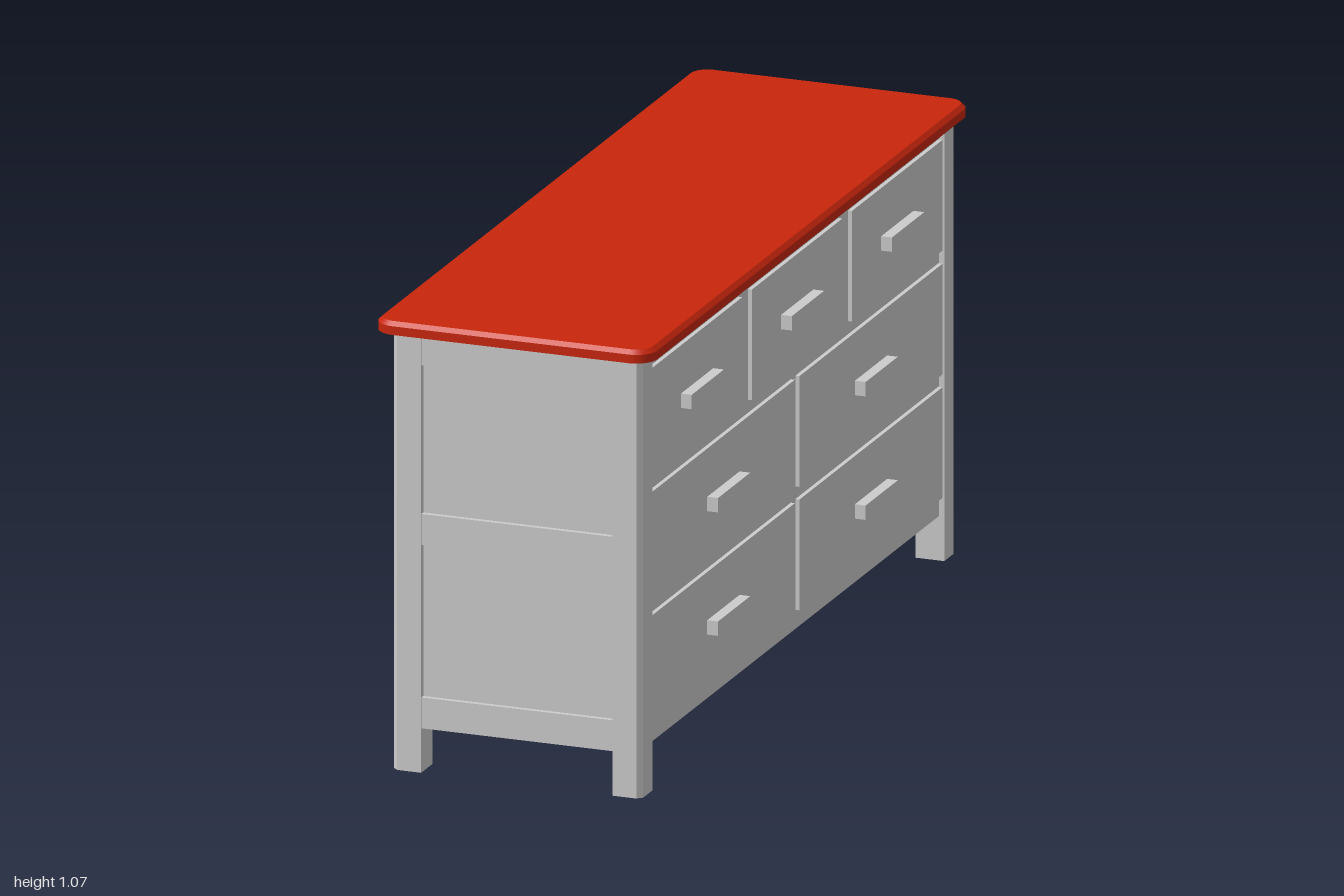
import * as THREE from 'three';

const grey = new THREE.MeshStandardMaterial({ color: 0xcccccc, flatShading: true });
const greyOpen = new THREE.MeshStandardMaterial({ color: 0xcccccc, flatShading: true, side: THREE.DoubleSide });
const red = new THREE.MeshStandardMaterial({ color: 0xc8260c });

const HX = 0.301, HZ = 0.973;      // carcass half sizes, outside the legs
const LEG = 0.07, CHAMFER = 0.012;
const BOTTOM = 0.105, TOP = 1.035;

// Box given by its min and max on each axis
function box(name, [x0, x1], [y0, y1], [z0, z1]) {
  const mesh = new THREE.Mesh(new THREE.BoxGeometry(x1 - x0, y1 - y0, z1 - z0), grey);
  mesh.position.set((x0 + x1) / 2, (y0 + y1) / 2, (z0 + z1) / 2);
  mesh.name = name;
  return mesh;
}

// Hollow post, open at the foot, with its outer corner chamfered
function leg(sx, sz) {
  const loop = [
    [HX - LEG, HZ - LEG], [HX - LEG, HZ], [HX - CHAMFER, HZ],
    [HX, HZ - CHAMFER], [HX, HZ - LEG],
  ].map(([x, z]) => [x * sx, z * sz]);
  if (sx * sz < 0) loop.reverse();
  const p = [];
  loop.forEach(([ax, az], i) => {
    const [bx, bz] = loop[(i + 1) % loop.length];
    p.push(ax, 0, az, bx, 0, bz, bx, TOP, bz, ax, 0, az, bx, TOP, bz, ax, TOP, az);
  });
  const g = new THREE.BufferGeometry();
  g.setAttribute('position', new THREE.Float32BufferAttribute(p, 3));
  g.computeVertexNormals();
  const mesh = new THREE.Mesh(g, greyOpen);
  mesh.name = 'leg';
  return mesh;
}

// Rounded rectangle outline of the worktop
function topOutline(hx, hz, r) {
  const s = new THREE.Shape();
  s.absarc(hx - r, hz - r, r, 0, Math.PI / 2);
  s.absarc(-hx + r, hz - r, r, Math.PI / 2, Math.PI);
  s.absarc(-hx + r, -hz + r, r, Math.PI, Math.PI * 1.5);
  s.absarc(hx - r, -hz + r, r, Math.PI * 1.5, Math.PI * 2);
  s.closePath();
  return s;
}

function topLayer(name, y, options) {
  const g = new THREE.ExtrudeGeometry(topOutline(0.335, 1, 0.05), { curveSegments: 6, ...options });
  g.rotateX(-Math.PI / 2);
  const mesh = new THREE.Mesh(g, red);
  mesh.position.y = y;
  mesh.name = name;
  return mesh;
}

export function createModel() {
  const model = new THREE.Group();
  model.name = 'chestOfDrawers';

  // Worktop: straight edge below, small bevel above
  model.add(topLayer('worktop', TOP, { depth: 0.02, bevelEnabled: false }));
  model.add(topLayer('worktopBevel', 1.055, {
    depth: 0.0005, bevelThickness: 0.0095, bevelSize: 0.01, bevelOffset: -0.01, bevelSegments: 1,
  }));

  // Carcass sits slightly off centre under the worktop
  const carcass = new THREE.Group();
  carcass.name = 'carcass';
  carcass.position.set(0.0065, 0, 0.005);
  model.add(carcass);
  carcass.add(box('body', [-0.295, 0.288], [BOTTOM, TOP], [-0.96, 0.96]));

  for (const sx of [-1, 1]) for (const sz of [-1, 1]) carcass.add(leg(sx, sz));

  // End rails, flush with the legs and framing two recessed panels
  const inner = HX - LEG;
  for (const s of [-1, 1]) {
    for (const y of [BOTTOM, 0.539, 0.963]) {
      const z = s > 0 ? [0.95, HZ - 0.001] : [-HZ + 0.001, -0.95];
      carcass.add(box('endRail', [-inner, inner], [y, y + 0.073], z));
    }
  }

  // Drawers: z centre, half width, per row
  const rows = [
    { y: 0.15, drawers: [[-0.457, 0.443], [0.457, 0.443]] },
    { y: 0.442, drawers: [[-0.457, 0.443], [0.457, 0.443]] },
    { y: 0.735, drawers: [[-0.62, 0.28], [0, 0.28], [0.62, 0.28]] },
  ];
  for (const { y, drawers } of rows) {
    for (const [z, half] of drawers) {
      const drawer = new THREE.Group();
      drawer.name = 'drawer';
      drawer.add(box('drawerFront', [0.27, 0.298], [y, y + 0.262], [z - half, z + half]));
      drawer.add(box('drawerPull', [0.295, 0.324], [y + 0.114, y + 0.148], [z - 0.1, z + 0.1]));
      carcass.add(drawer);
    }
  }
  return model;
}
